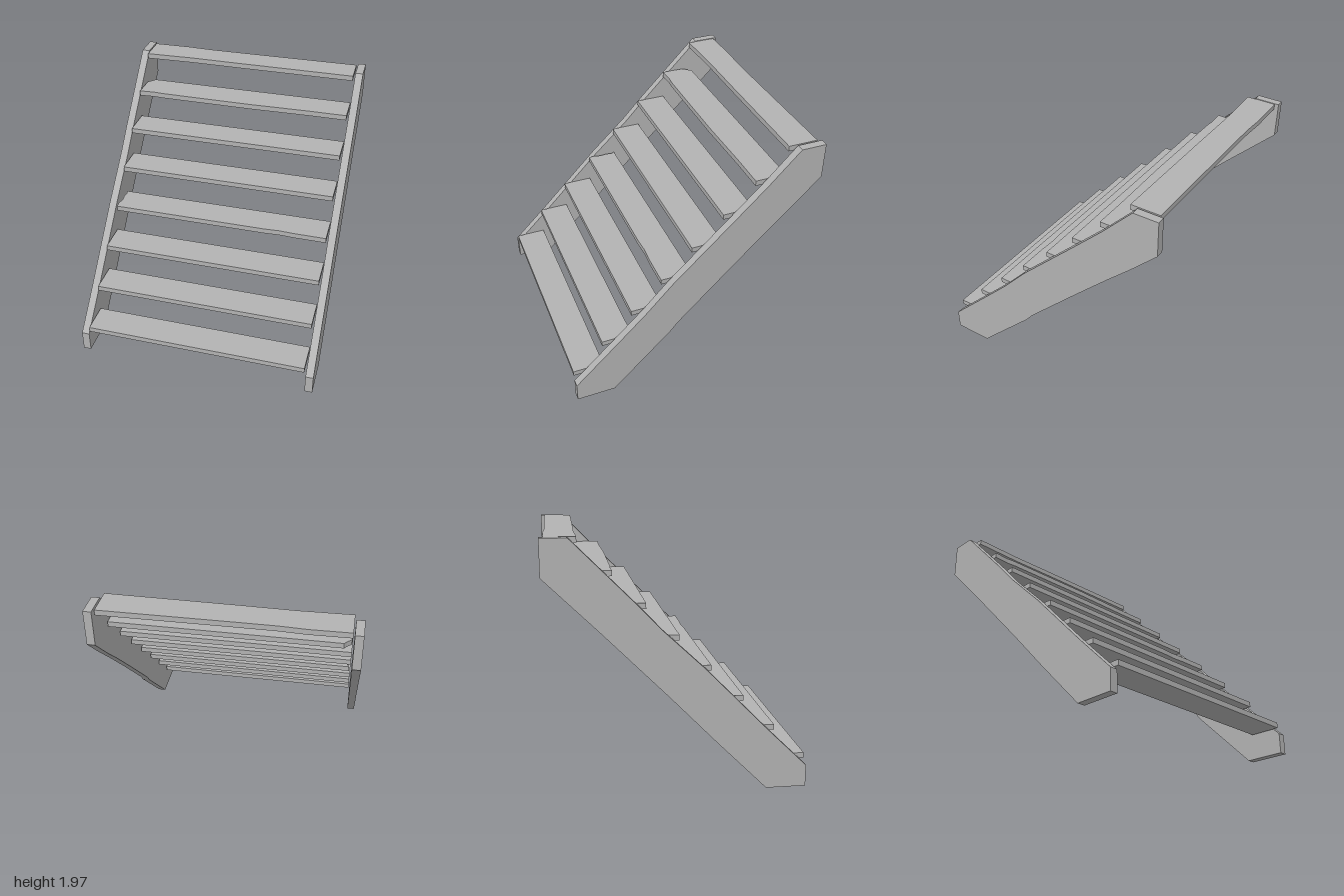
import * as THREE from 'three';

const grey = new THREE.MeshStandardMaterial({ color: 0xb2b2b2 });
grey.name = 'grey';

// flat plank outline with a straight thickness
function plank(name, points, thickness) {
  const shape = new THREE.Shape(points.map(([a, b]) => new THREE.Vector2(a, b)));
  const geometry = new THREE.ExtrudeGeometry(shape, { depth: thickness, bevelEnabled: false });
  const mesh = new THREE.Mesh(geometry, grey);
  mesh.name = name;
  return mesh;
}

export function createModel() {
  const group = new THREE.Group();
  group.name = 'openStaircase';

  // sloping side boards with slightly worn edges, outlined in z and y
  const foot = [[1, 0], [0.685, 0]];
  const head = [[-1, 1.685], [-1, 1.967], [-0.8, 1.967]];
  const leftEdges = [
    [[0.2, 0.485], [0.14, 0.56], [-0.3, 1.0], [-0.6, 1.295], [-0.78, 1.465]],
    [[-0.55, 1.705], [-0.3, 1.46], [0.19, 0.985], [0.41, 0.745], [0.6, 0.555], [1, 0.16]],
  ];
  const rightEdges = [
    [[0.3, 0.385], [-0.07, 0.765], [-0.3, 0.995], [-0.6, 1.295]],
    [[-0.3, 1.465], [-0.12, 1.275], [0.2, 0.975], [0.7, 0.465], [1, 0.17]],
  ];
  [['leftStringer', leftEdges, 0.983], ['rightStringer', rightEdges, -0.92]].forEach(([name, [under, over], x]) => {
    const stringer = plank(name, [...foot, ...under, ...head, ...over], 0.063);
    stringer.geometry.rotateY(-Math.PI / 2).translate(x, 0, 0);
    group.add(stringer);
  });

  // treads, front to back; worn ones have irregular front, back or left edges
  const L = -0.91, R = 0.907;
  const worn = {
    3: {
      front: [[0.4, 0.255], [0.52, 0.248], [0.65, 0.255]],
      left: [[-0.9, 0.01], [-0.885, 0.04], [-0.892, 0.09], [-0.885, 0.15], [-0.9, 0.2], [-0.895, 0.255]],
    },
    6: {
      front: [[-0.78, -0.492], [-0.7, -0.485], [0.1, -0.479], [0.6, -0.488]],
      left: [[-0.85, -0.74], [-0.87, -0.715], [-0.905, -0.68], [L, -0.485]],
    },
    7: {
      front: [[-0.5, -0.745], [-0.1, -0.74]],
      back: [[-0.1, -0.965], [-0.4, -0.965], [-0.6, -0.975]],
    },
  };
  // the seventh board up carries the front-edge wear listed under 6
  for (let i = 0; i < 8; i++) {
    const front = 1 - i * 0.2478;
    const back = i === 7 ? -0.97 : front - 0.249;
    const { front: frontWear = [], left, back: backWear = [] } = worn[i] || {};
    const leftEnd = left || [[L, back], [L, front]];
    const outline = [...leftEnd, ...frontWear, [R, front], [R, back], ...backWear];
    const tread = plank('tread' + (i + 1), outline.map(([x, z]) => [x, -z]), 0.043);
    tread.geometry.rotateX(-Math.PI / 2).translate(0, 0.204 + i * 0.2457, 0);
    group.add(tread);
  }
  return group;
}
